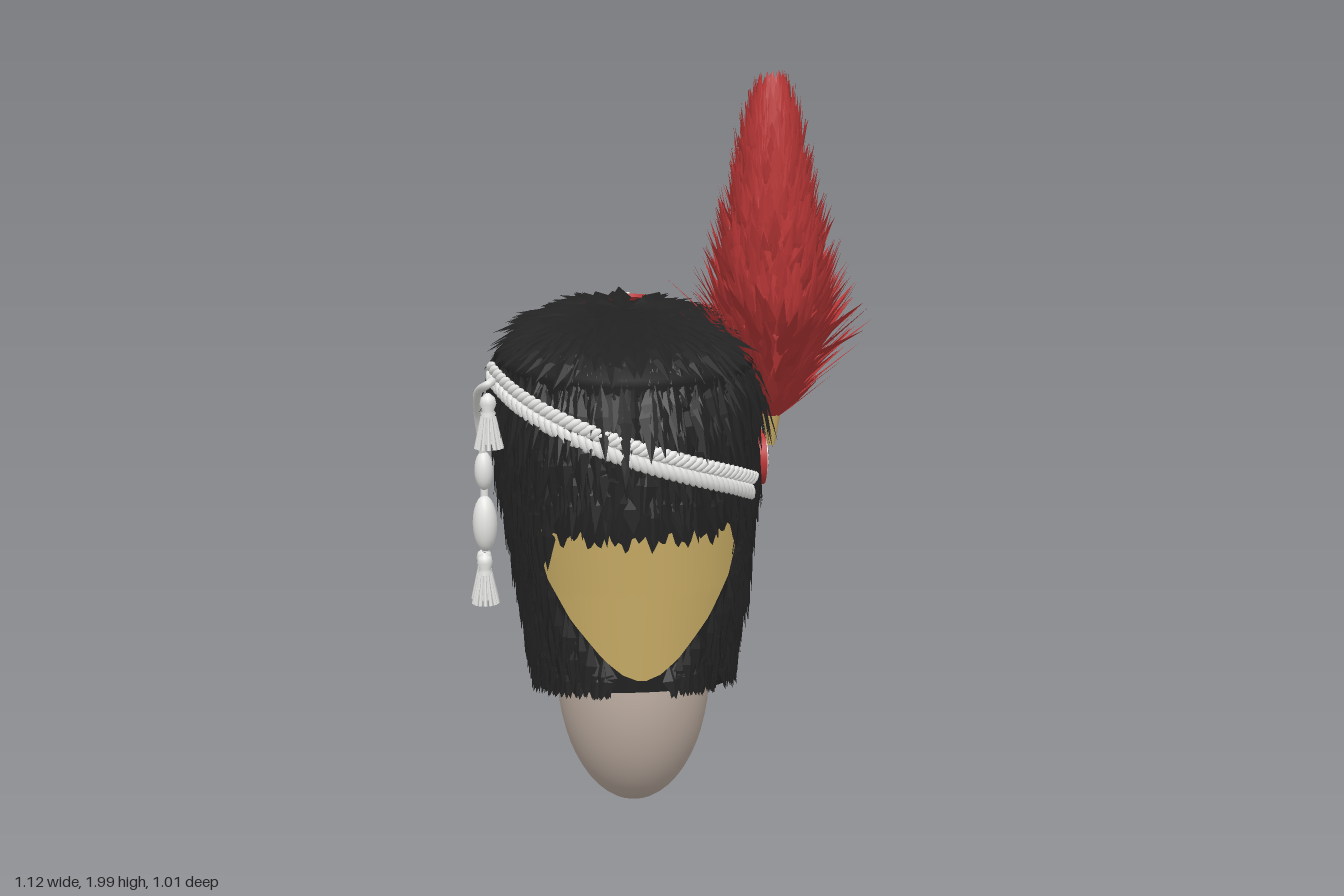
import * as THREE from 'three';
import { mergeGeometries } from 'three/addons/utils/BufferGeometryUtils.js';
import { ParametricGeometry } from 'three/addons/geometries/ParametricGeometry.js';

const V = (x = 0, y = 0, z = 0) => new THREE.Vector3(x, y, z);
const lerp = THREE.MathUtils.lerp;

function makeMaterial(name, color) {
  const m = new THREE.MeshStandardMaterial({ color, side: THREE.DoubleSide });
  m.name = name;
  return m;
}

// Linear interpolation in rows of [key, value, value...]
function sample(rows, k) {
  let i = 0;
  while (i < rows.length - 2 && k > rows[i + 1][0]) i++;
  const [a, b] = [rows[i], rows[i + 1]];
  const f = (k - a[0]) / (b[0] - a[0]);
  return a.slice(1).map((v, j) => lerp(v, b[j + 1], f));
}

// Hat cross-sections: t, centre x, radius x, centre z, radius z
const SECTIONS = [
  [0, -0.15, 0.25, 0.145, 0.27],
  [0.33, -0.147, 0.3, 0.09, 0.335],
  [0.67, -0.157, 0.34, 0.05, 0.387],
  [1, -0.163, 0.352, 0.032, 0.41],
];
const RIM = 1.235;
const hem = (a) => 0.335 + 0.07 * Math.cos(a);

// Hat surface: angle a from the front, t = 0 hem, 1 rim, 2 crown centre
function hatPoint(a, t) {
  const [cx, rx, cz, rz] = sample(SECTIONS, Math.min(t, 1));
  const q = t > 1 ? Math.max(2 - t, 0.0005) : 1;
  const z = cz + rz * q * Math.cos(a);
  const base = t > 1 ? RIM + 0.12 * (1 - q ** 3) : lerp(hem(a), RIM, t);
  return V(cx + rx * q * Math.sin(a), base - 0.06 * z * Math.max(t, 0), z);
}

// Point, outward normal and downward flow on the hat
function hatFrame(a, t) {
  const p = hatPoint(a, t);
  const da = hatPoint(a + 0.01, t).sub(p);
  const flow = hatPoint(a, t - 0.01).sub(p).normalize();
  const n = V().crossVectors(flow, da).normalize();
  return { p, flow, n, side: da.normalize() };
}
const heightToT = (a, y) => (y - hem(a)) / (RIM - hem(a));

// Pointed leaf with a raised ridge, as four flat triangles
function addBlade(out, root, tip, normal, width, ridge) {
  const dir = tip.clone().sub(root);
  const side = V().crossVectors(dir, normal).normalize().multiplyScalar(width / 2);
  const mid = root.clone().lerp(tip, 0.45);
  const l = mid.clone().sub(side), r = mid.clone().add(side);
  const c = mid.clone().addScaledVector(normal, ridge);
  for (const v of [root, c, l, root, r, c, l, c, tip, c, r, tip]) out.push(v.x, v.y, v.z);
}
function bladeGeometry(out) {
  const g = new THREE.BufferGeometry();
  g.setAttribute('position', new THREE.Float32BufferAttribute(out, 3));
  g.computeVertexNormals();
  return g;
}

// Front plate half widths by height
const PLATE = [[0.445, 0.01], [0.46, 0.045], [0.5, 0.09], [0.6, 0.168], [0.7, 0.222], [0.77, 0.24], [0.87, 0.24]];
const onPlate = (p) =>
  p.z > 0.2 && p.y > 0.445 && p.y < 0.8 && Math.abs(p.x + 0.15) < sample(PLATE, p.y)[0];
const onCrownPatch = (p) =>
  p.y > 1.2 && ((p.x + 0.145) / 0.155) ** 2 + ((p.z + 0.34) / 0.17) ** 2 < 1;

export function createModel() {
  const model = new THREE.Group();
  let seed = 7;
  const rnd = () => (seed = (seed * 16807) % 2147483647) / 2147483647;
  const vary = (a, b) => lerp(a, b, rnd());

  const black = makeMaterial('black fur', 0x212121);
  const red = makeMaterial('red', 0xbe3838);
  const white = makeMaterial('white cord', 0xe6e6e4);
  const brass = makeMaterial('brass', 0xc6aa64);
  const stone = makeMaterial('head stone', 0xbdada1);

  const add = (name, geo, mat, pos, parent = model) => {
    const m = new THREE.Mesh(geo, mat);
    m.name = name;
    if (pos) m.position.set(...pos);
    parent.add(m);
    return m;
  };

  // Egg-shaped head stand
  add('head', new THREE.SphereGeometry(1, 40, 28), stone, [-0.15, 0.37, 0.127]).scale.set(0.21, 0.37, 0.245);

  // Hat body under the fur
  add('hatBody', new ParametricGeometry((u, v, o) =>
    o.copy(hatPoint(u * Math.PI * 2, v * 2)), 64, 48), black);

  // Shingled fur, left out over the plate, crown patch and bare back strip
  const fur = [];
  for (let i = 0; i < 3000; i++) {
    const a = ((i * 0.618034) % 1) * Math.PI * 2;
    const t = i % 4 ? vary(0.06, 1.02) : 2 - Math.sqrt(rnd());
    const { p, flow, n, side } = hatFrame(a, t);
    const rim = t > 0.97 && t < 1.35;
    const len = Math.min(vary(0.1, 0.18), t < 0.25 ? 0.015 + t * 0.75 : 1);
    // tips partly follow the curve of the hat
    const tip = p.clone().addScaledVector(flow, len);
    if (t > 1) tip.lerp(hatPoint(a, t - len / 0.4), 0.6);
    tip.addScaledVector(n, rim ? vary(0, 0.04) : vary(0.018, 0.034))
      .addScaledVector(side, vary(-0.02, 0.02));
    const mid = p.clone().lerp(tip, 0.5);
    const bare = p.z < -0.2 && p.y > 0.85 && Math.abs(p.x + 0.15) < 0.13;
    if (bare || [p, mid, tip].some((q) => onPlate(q) || onCrownPatch(q))) continue;
    addBlade(fur, p.addScaledVector(n, 0.004), tip, n, vary(0.035, 0.06), 0.008);
  }
  add('fur', bladeGeometry(fur), black);

  // Brass front plate following the hat surface, ragged along the fur at its top
  add('frontPlate', new ParametricGeometry((u, v, o) => {
    const top = 0.825 + 0.03 * Math.sin(u * 71) * Math.cos(u * 29);
    const y = lerp(0.445, top, v);
    const x = (u * 2 - 1) * sample(PLATE, y)[0];
    let a = 0, f;
    for (let k = 0; k < 4; k++) {
      const t = heightToT(a, y);
      const s = sample(SECTIONS, t);
      a = Math.asin((x - 0.15 - s[0]) / s[1]);
      f = hatFrame(a, t);
    }
    o.copy(f.p).addScaledVector(f.n, 0.018);
  }, 60, 24), brass);

  // Plaited band slanting across the front: ribbon with a herringbone of beads
  const bandFrame = (k) => {
    const a = lerp(-1.2, 0.99, k);
    const f = hatFrame(a, heightToT(a, lerp(1.225, 0.93, k)));
    const along = f.side.clone().addScaledVector(f.flow, 0.36).normalize();
    return { p: f.p, n: f.n, along, up: V().crossVectors(f.n, along).normalize() };
  };
  add('bandRibbon', new ParametricGeometry((u, v, o) => {
    const f = bandFrame(u);
    o.copy(f.p).addScaledVector(f.n, 0.034).addScaledVector(f.up, (v - 0.5) * 0.06);
  }, 46, 1), white);
  const beads = [];
  for (let i = 0; i <= 46; i++) {
    const f = bandFrame(i / 46);
    for (const s of [-1, 1]) {
      const g = new THREE.SphereGeometry(1, 8, 6).scale(0.026, 0.012, 0.011).rotateZ(s * 0.8);
      const c = f.p.clone().addScaledVector(f.n, 0.034).addScaledVector(f.up, s * 0.018);
      beads.push(g.applyMatrix4(new THREE.Matrix4().makeBasis(f.along, f.up, f.n).setPosition(c)));
    }
  }
  add('plaitedBand', mergeGeometries(beads), white);

  // Round patch with a cross at the back of the crown
  const patch = new THREE.Group();
  patch.name = 'crownPatch';
  patch.position.set(-0.145, 1.312, -0.342);
  patch.rotation.x = -0.34;
  model.add(patch);
  add('patchDisc', new THREE.CylinderGeometry(0.15, 0.15, 0.01, 48), red, null, patch).scale.z = 1.14;
  add('crossLong', new THREE.BoxGeometry(0.026, 0.009, 0.325), white, [0, 0.007, 0], patch);
  add('crossWide', new THREE.BoxGeometry(0.28, 0.008, 0.024), white, [0, 0.007, 0], patch);
  const stray = [];
  addBlade(stray, V(0.062, 0.014, 0.125), V(0.073, 0.02, 0), V(0, 1, 0), 0.03, 0.008);
  add('strayTuft', bladeGeometry(stray), black, null, patch);

  // Cord, slides and tassels on the right side
  const cordPath = new THREE.CatmullRomCurve3([
    V(-0.505, 1.2, 0.2), V(-0.53, 1.19, 0.25), V(-0.558, 1.15, 0.14),
    V(-0.562, 1.07, 0.04), V(-0.552, 0.96, 0), V(-0.55, 0.68, 0)]);
  add('cord', new THREE.TubeGeometry(cordPath, 50, 0.011, 8), white);
  for (const [y, r, h] of [[0.91, 0.026, 0.055], [0.76, 0.034, 0.08]])
    add('cordSlide', new THREE.SphereGeometry(1, 16, 12), white, [-0.55, y, 0]).scale.set(r, h, r * 1.15);
  const tassel = (x, top, z) => {
    const parts = [new THREE.LatheGeometry([[0.004, 0], [0.018, -0.012], [0.022, -0.028], [0.015, -0.045],
      [0.02, -0.052], [0.017, -0.062], [0.025, -0.09], [0.028, -0.13]].map((p) => new THREE.Vector2(...p)).reverse(), 14)];
    for (let i = 0; i < 14; i++)
      parts.push(new THREE.CylinderGeometry(0.004, 0.006, 0.085, 5)
        .rotateX(-0.2).translate(0, -0.103, 0.025).rotateY(i / 14 * Math.PI * 2));
    add('tassel', mergeGeometries(parts), white, [x, top, z]);
  };
  tassel(-0.53, 1.17, 0.26);
  tassel(-0.552, 0.685, 0.032);
  tassel(-0.555, 0.68, -0.035);

  // Cockade on the left side
  for (const [name, r, x, h, mat] of [['cockadeRim', 0.075, 0.202, 0.03, red],
    ['cockadeRing', 0.053, 0.219, 0.008, white], ['cockadeCentre', 0.029, 0.224, 0.008, black]])
    add(name, new THREE.CylinderGeometry(r, r, h, 32).rotateZ(Math.PI / 2), mat, [x, 0.945, 0.06]);

  // Plume holder
  add('plumeHolder', new THREE.CylinderGeometry(0.025, 0.01, 0.085, 16), brass, [0.24, 1.02, 0.05]);

  // Feather plume around a leaning spine
  const GIRTH = [[0, 0.02], [0.12, 0.12], [0.28, 0.235], [0.42, 0.21], [0.62, 0.155], [0.8, 0.11], [0.93, 0.078], [1, 0.045]];
  const spine = (h) => V(lerp(0.24, 0.247, h), lerp(1.05, 1.98, h), lerp(0.05, -0.05, h));
  const around = (h, a, r) => spine(h).add(V(Math.sin(a) * r, 0, Math.cos(a) * r));
  add('plumeCore', new ParametricGeometry((u, v, o) =>
    o.copy(around(v * 0.97, u * Math.PI * 2, sample(GIRTH, v)[0] * 0.6)), 20, 24), red);
  const feathers = [];
  for (let i = 0; i < 1500; i++) {
    const h = 0.08 + 0.93 * ((i * 0.754878) % 1);
    const a = i * 2.399963 + vary(-0.2, 0.2);
    const root = Math.max(0, h - vary(0.11, 0.2));
    const long = rnd() < 0.1 && h < 0.45 ? vary(1.15, 1.4) : vary(0.7, 1.08);
    addBlade(feathers, around(root, a, sample(GIRTH, root)[0] * 0.55),
      around(h, a + vary(-0.12, 0.12), sample(GIRTH, h)[0] * long),
      V(Math.sin(a), 0.1, Math.cos(a)).normalize(), vary(0.024, 0.042), 0.003);
  }
  add('plumeFeathers', bladeGeometry(feathers), red);

  return model;
}
